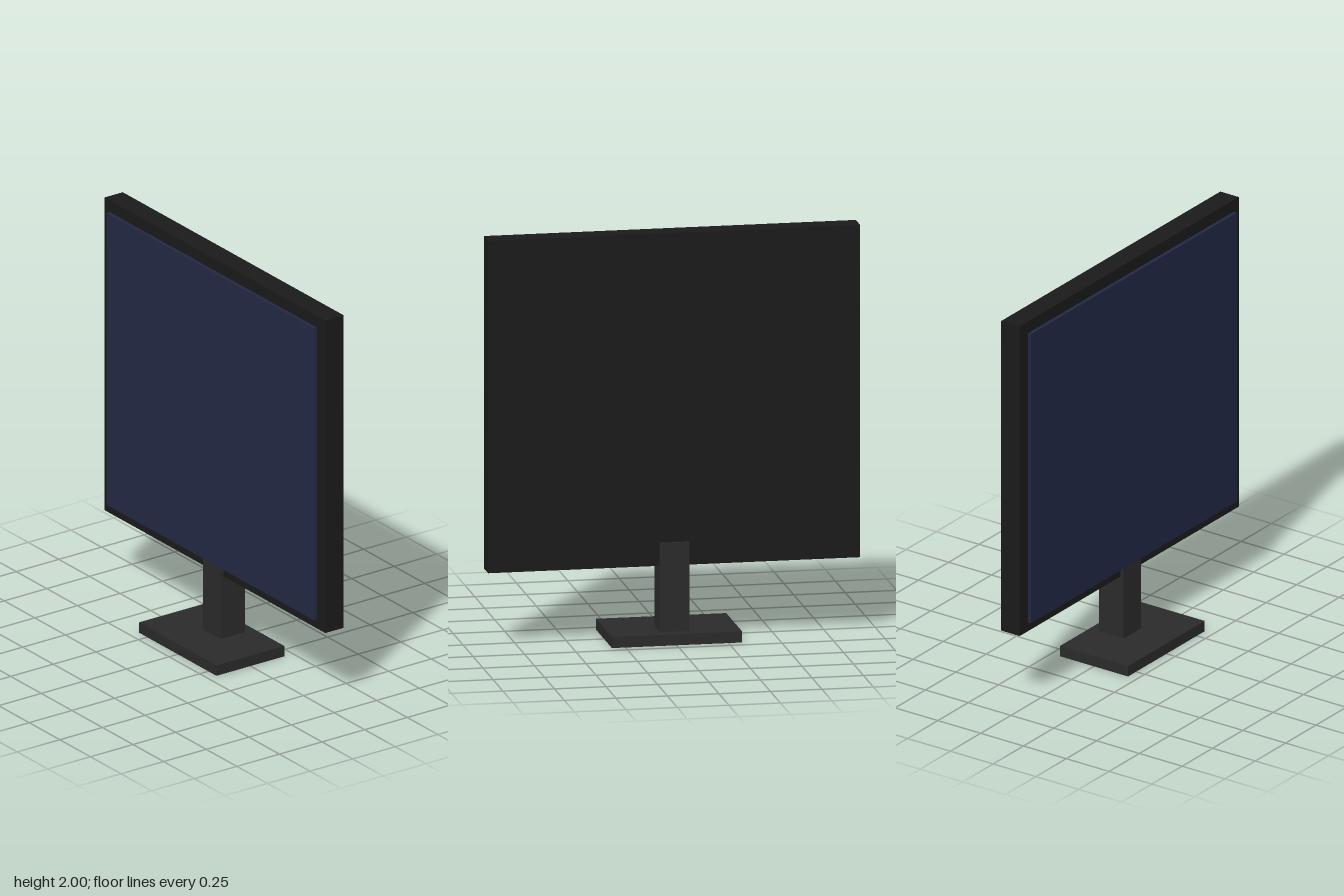
import * as THREE from 'three';

const material = (color) => new THREE.MeshStandardMaterial({ color });

// Box given by its extents along each axis
function box(name, [x0, x1], [y0, y1], [z0, z1], mat) {
  const mesh = new THREE.Mesh(new THREE.BoxGeometry(x1 - x0, y1 - y0, z1 - z0), mat);
  mesh.position.set((x0 + x1) / 2, (y0 + y1) / 2, (z0 + z1) / 2);
  mesh.name = name;
  return mesh;
}

export function createModel() {
  const group = new THREE.Group();
  group.name = 'monitor';

  const casing = material(0x1a1a1a);
  const stand = material(0x2a2a2a);
  const glass = material(0x222844);

  group.add(
    // Stand
    box('base', [-0.316, 0.316], [0, 0.054], [-0.199, 0.199], stand),
    box('neck', [-0.072, 0.072], [0.054, 0.488], [-0.144, 0], stand),
    // Display housing with the thin panel floating just in front of it
    box('housing', [-0.903, 0.903], [0.375, 2], [-0.126, -0.018], casing),
    box('screen', [-0.849, 0.849], [0.429, 1.946], [-0.009, 0.009], glass),
  );
  return group;
}
